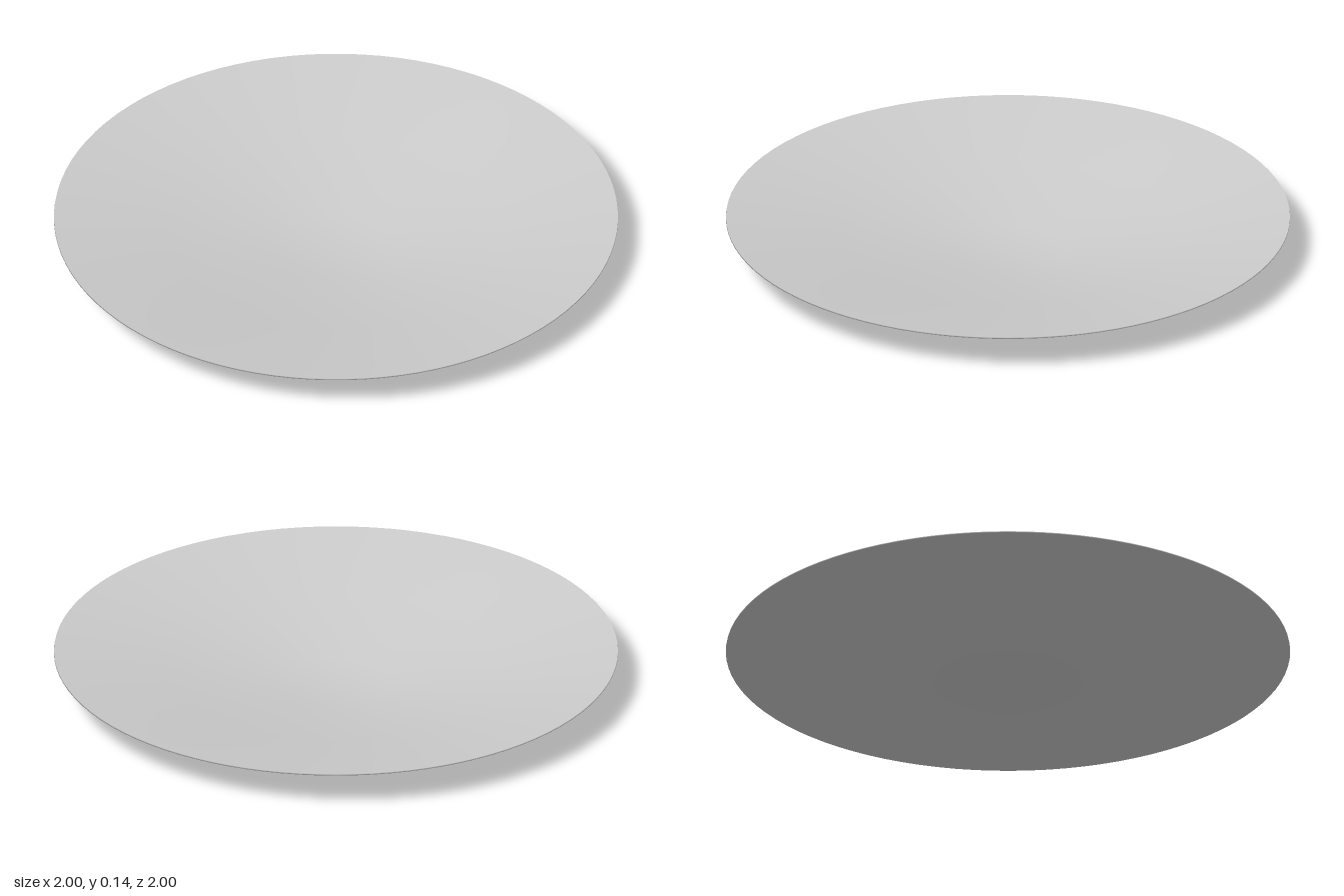
import * as THREE from 'three';

export function createModel() {
  const group = new THREE.Group();
  const material = new THREE.MeshStandardMaterial({ color: 0xcccccc });

  // Thin shell profile: up the underside, round the rim, back down the inside
  const thickness = 0.005;
  const profile = [
    [0, 0], [0.2, 0], [0.6, 0.065], [1, 0.131], // underside
    [0.999, 0.131 + thickness], [0.6, 0.065 + thickness], [0.2, thickness], [0, thickness], // inside
  ].map(([r, y]) => new THREE.Vector2(r, y));

  const dish = new THREE.Mesh(new THREE.LatheGeometry(profile, 96), material);
  dish.name = 'dish';
  group.add(dish);
  return group;
}
